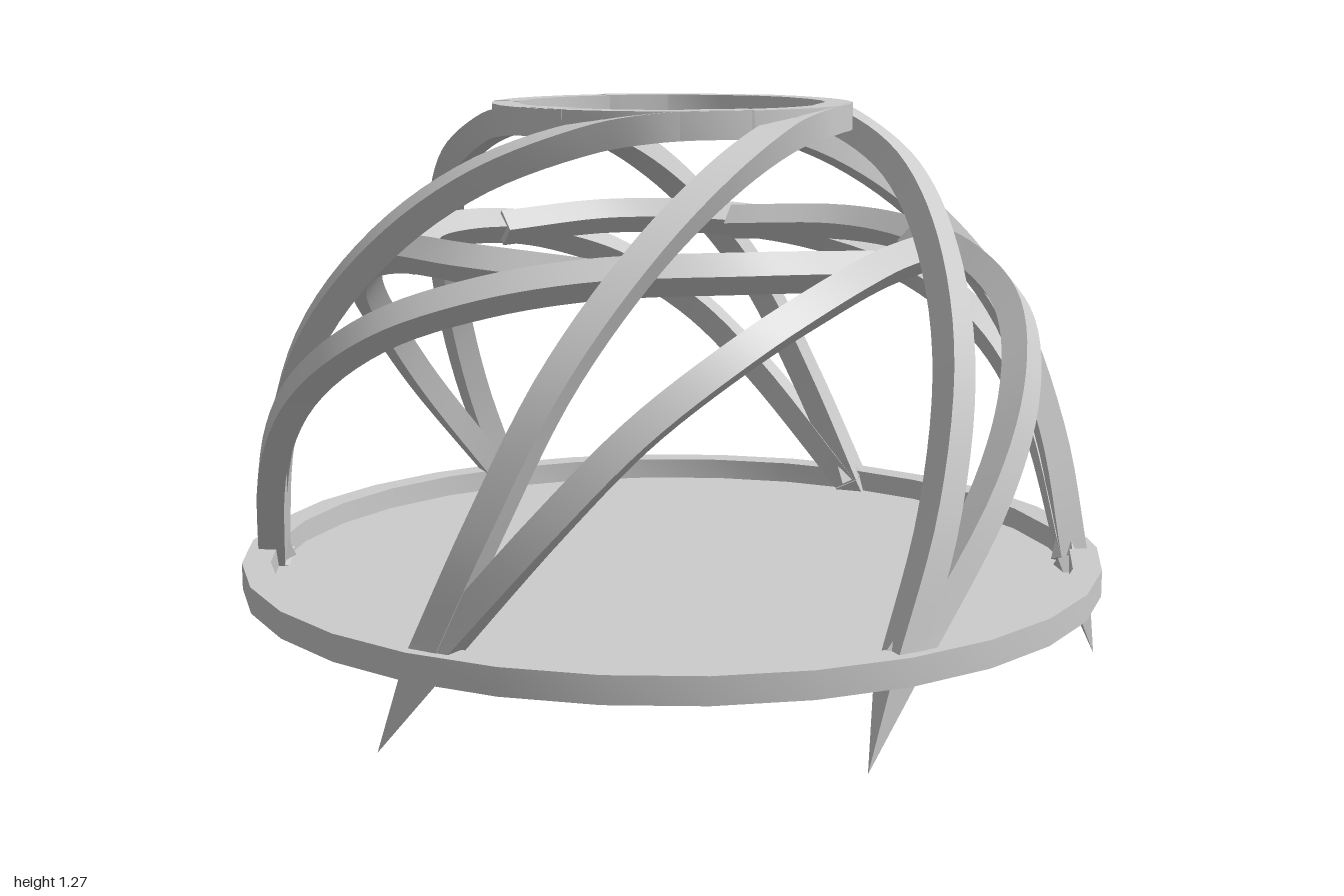
import * as THREE from 'three';
import { toCreasedNormals } from 'three/addons/utils/BufferGeometryUtils.js';

const FEET = 6;
const mat = new THREE.MeshStandardMaterial({ color: 0xcccccc, side: THREE.DoubleSide });

// Turned ring or plate from a profile, with a corner on the x axis
function lathe(profile, segments) {
  const pts = profile.map(([r, y]) => new THREE.Vector2(r, y));
  const g = new THREE.LatheGeometry(pts, segments, Math.PI / 2);
  return toCreasedNormals(g.toNonIndexed(), 0.6);
}

// Square bar swept along [degrees, radius, height, tilt of its outer face in degrees]
function bar(stations, half, steps = 40) {
  const rad = THREE.MathUtils.degToRad;
  const curve = new THREE.CatmullRomCurve3(stations.map(([a, r, y]) =>
    new THREE.Vector3(r * Math.cos(rad(a)), y, -r * Math.sin(rad(a)))));
  const rings = [];
  for (let i = 0; i <= steps; i++) {
    const t = i / steps;
    const p = curve.getPoint(t), T = curve.getTangent(t);
    const f = t * (stations.length - 1);
    const k = Math.min(Math.floor(f), stations.length - 2);
    const tilt = rad(THREE.MathUtils.lerp(stations[k][3], stations[k + 1][3], f - k));
    const N = new THREE.Vector3(p.x, 0, p.z).normalize().multiplyScalar(Math.cos(tilt));
    N.y = Math.sin(tilt);
    N.addScaledVector(T, -N.dot(T)).normalize();
    const S = new THREE.Vector3().crossVectors(T, N);
    rings.push([[1, 1], [-1, 1], [-1, -1], [1, -1]].map(([n, s]) =>
      p.clone().addScaledVector(N, n * half).addScaledVector(S, s * half)));
  }
  const out = [];
  const quad = (a, b, c, d) => out.push(a, b, c, a, c, d);
  for (let i = 0; i < steps; i++)
    for (let j = 0; j < 4; j++) {
      const m = (j + 1) % 4;
      quad(rings[i][j], rings[i][m], rings[i + 1][m], rings[i + 1][j]);
    }
  const [s0, s1, s2, s3] = rings[0];
  quad(s3, s2, s1, s0);
  quad(...rings[steps]);
  return toCreasedNormals(new THREE.BufferGeometry().setFromPoints(out), 0.6);
}

// Four-sided point running from a base centre to a tip
function spike(from, to, radius) {
  const a = new THREE.Vector3(...from), d = new THREE.Vector3(...to).sub(a);
  const len = d.length();
  const g = new THREE.ConeGeometry(radius, len, 4).toNonIndexed();
  g.computeVertexNormals();
  g.translate(0, len / 2, 0);
  g.applyQuaternion(new THREE.Quaternion().setFromUnitVectors(
    new THREE.Vector3(0, 1, 0), d.normalize()));
  return g.translate(a.x, a.y, a.z);
}

export function createModel() {
  const model = new THREE.Group();
  const add = (name, geometry, parent = model) => {
    const mesh = new THREE.Mesh(geometry, mat);
    mesh.name = name;
    parent.add(mesh);
  };

  // Round tray with a raised rim
  add('basePlate', lathe([[0, 0.17], [1, 0.17], [1, 0.23], [0.935, 0.23], [0.935, 0.178], [0, 0.178]], 30));

  // Crown ring at the top
  add('crownRing', lathe([[0.35, 1.21], [0.412, 1.21], [0.412, 1.27], [0.35, 1.27], [0.35, 1.21]], 30));

  // Tall ribs spiral up into the crown; low ribs sweep round and rest on the next one
  const tallRib = bar([
    [0, 0.95, 0.18, 5], [8, 0.91, 0.48, 12], [16, 0.83, 0.76, 25], [26.6, 0.69, 0.98, 40],
    [42, 0.54, 1.13, 60], [67, 0.41, 1.215, 80], [90, 0.383, 1.237, 90], [118, 0.381, 1.24, 90]], 0.031);
  const lowRib = bar([
    [0, 0.95, 0.18, 5], [17, 0.92, 0.5, 12], [28, 0.88, 0.68, 20], [42, 0.8, 0.82, 30],
    [58, 0.7, 0.9, 40], [77, 0.62, 0.94, 45], [107, 0.6, 0.95, 45], [137, 0.6, 0.935, 45]], 0.031);
  const spikeDown = spike([0.94, 0.2, -0.01], [0.985, 0, 0.09], 0.05);
  const spikeUp = spike([0.94, 0.2, -0.01], [0.935, 0.34, -0.08], 0.045);

  for (let i = 0; i < FEET; i++) {
    const arm = new THREE.Group();
    arm.name = 'ribPair' + (i + 1);
    arm.rotation.y = i * Math.PI * 2 / FEET;
    add('tallRib', tallRib, arm);
    add('lowRib', lowRib, arm);
    add('footSpike', spikeDown, arm);
    add('footSpikeTop', spikeUp, arm);
    model.add(arm);
  }
  return model;
}
